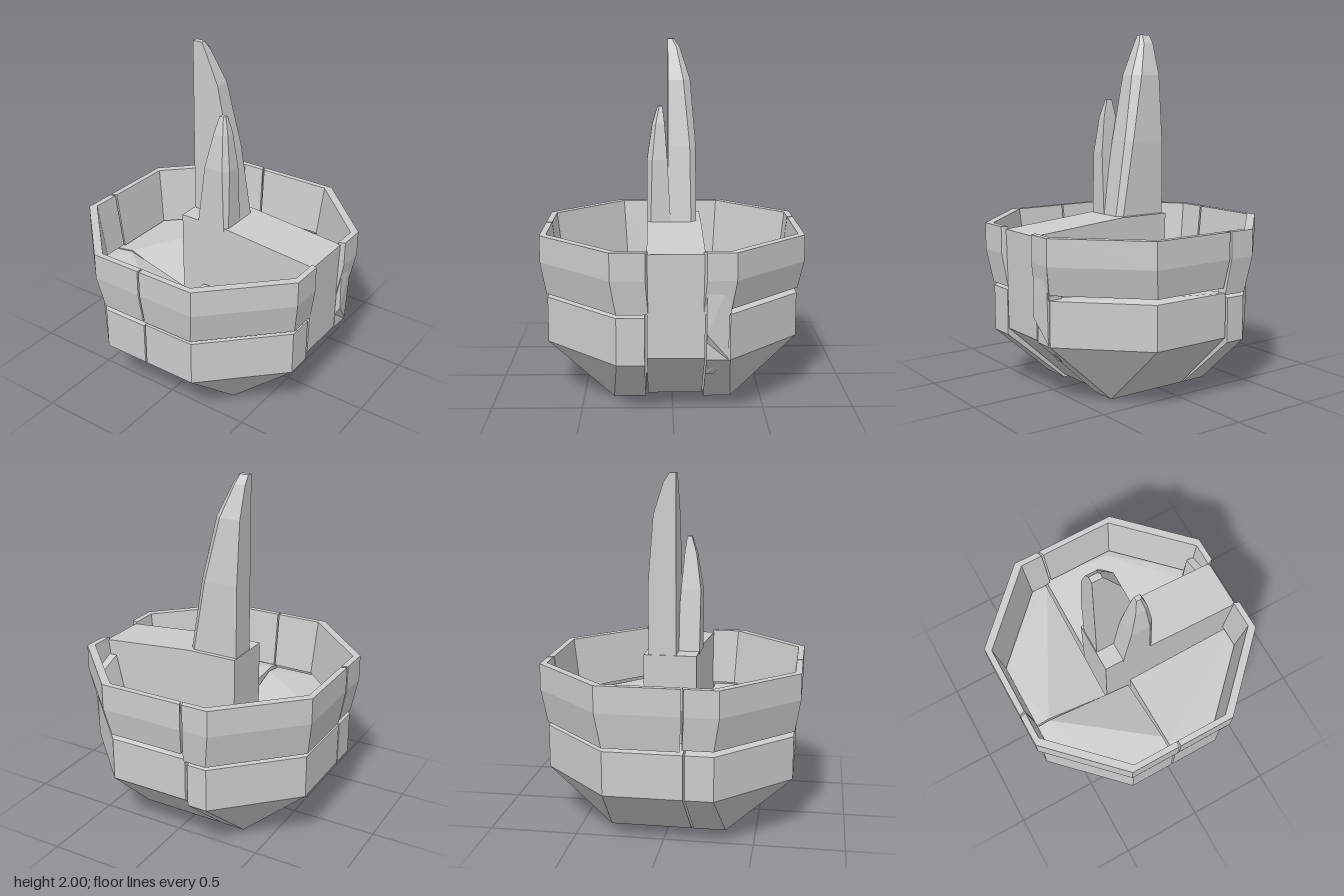
import * as THREE from 'three';
import { ConvexGeometry } from 'three/addons/geometries/ConvexGeometry.js';

const stone = new THREE.MeshStandardMaterial({ color: 0xcccccc, flatShading: true });

// Convex faceted stone from corner points
function addStone(parent, name, points) {
  const geometry = new ConvexGeometry(points.map((p) => new THREE.Vector3(...p)));
  const mesh = new THREE.Mesh(geometry, stone);
  mesh.name = name;
  parent.add(mesh);
}

// Octagon with flats at distance r and flat half-width h, as [x, z]
const octagon = (r, h) => [[h, r], [r, h], [r, -h], [h, -r], [-h, -r], [-r, -h], [-r, h], [-h, r]];
const square = (r) => [[r, r], [r, -r], [-r, -r], [-r, r]];

// Keep the side of a polygon where sign * (coordinate - limit) >= 0
function clip(poly, axis, sign, limit) {
  const out = [];
  poly.forEach((a, i) => {
    const b = poly[(i + 1) % poly.length];
    const da = sign * (a[axis] - limit), db = sign * (b[axis] - limit);
    if (da >= 0) out.push(a);
    if (da * db < 0) {
      const t = da / (da - db);
      out.push([a[0] + (b[0] - a[0]) * t, a[1] + (b[1] - a[1]) * t]);
    }
  });
  return out;
}

// Quarter of the bowl: sx, sz give the kept sides, (cx, cz) the inner corner
function addBowlQuarter(parent, name, { sx, sz, cx, cz, shoulder, top, inner, folds }) {
  const cut = (poly) => clip(clip(poly, 0, sx, cx), 1, sz, cz);
  const at = (poly, y) => cut(poly).map(([x, z]) => [x, y, z]);
  const isCorner = ([x, , z]) => Math.abs(x - cx) + Math.abs(z - cz) < 1e-6;
  const rim = at(octagon(0.7, 0.3), top).filter((p) => !isCorner(p));
  addStone(parent, name, [
    ...at(square(0.33), 0),
    ...at(octagon(0.7, 0.3), shoulder),
    ...rim,
    [cx, inner, cz],
    ...folds.map(([x, z]) => [x, top + 0.02, z]),
  ]);
}

// Straight wall segment of the rim, between fractions t0 and t1 of an octagon side
function addRimWall(parent, side, t0, t1, bottom) {
  const point = (r, h, t, y) => {
    const ring = octagon(r, h);
    const a = ring[side], b = ring[(side + 1) % 8];
    return [a[0] + (b[0] - a[0]) * t, y, a[1] + (b[1] - a[1]) * t];
  };
  const points = [];
  for (const t of [t0, t1]) {
    points.push(
      point(0.735, 0.33, t, 0.94), point(0.735, 0.33, t, 0.79), point(0.705, 0.3, t, bottom),
      point(0.7, 0.3, t, 0.94), point(0.66, 0.28, t, bottom),
    );
  }
  addStone(parent, 'rimWall', points);
}

// Spire from stacked cross-sections [y, x0, x1, z0, z1, chamfer]
function addSpire(parent, name, sections, chamferSide) {
  const points = [];
  for (const [y, x0, x1, z0, z1, c] of sections) {
    points.push([x0, y, z0], [x1, y, z0]);
    if (chamferSide > 0) points.push([x0, y, z1], [x1 - c, y, z1], [x1, y, z1 - c]);
    else points.push([x1, y, z1], [x0 + c, y, z1], [x0, y, z1 - c]);
  }
  addStone(parent, name, points);
}

export function createModel() {
  const model = new THREE.Group();
  model.name = 'stoneBasin';

  // Four bowl pieces arranged as a pinwheel around the pillar
  const bowl = new THREE.Group();
  bowl.name = 'bowl';
  model.add(bowl);
  addBowlQuarter(bowl, 'bowlBackRight', {
    sx: -1, sz: -1, cx: -0.145, cz: -0.025, shoulder: 0.32, top: 0.57, inner: 0.45,
    folds: [[-0.57, -0.025], [-0.145, -0.58]],
  });
  addBowlQuarter(bowl, 'bowlFrontRight', {
    sx: -1, sz: 1, cx: -0.15, cz: -0.015, shoulder: 0.32, top: 0.58, inner: 0.56,
    folds: [[-0.62, -0.015]],
  });
  addBowlQuarter(bowl, 'bowlFrontLeft', {
    sx: 1, sz: 1, cx: 0.175, cz: -0.17, shoulder: 0.35, top: 0.6, inner: 0.56,
    folds: [[0.64, 0.25]],
  });
  addBowlQuarter(bowl, 'bowlBackLeft', {
    sx: 1, sz: -1, cx: -0.135, cz: -0.185, shoulder: 0.32, top: 0.57, inner: 0.45,
    folds: [[-0.135, -0.58], [0.64, -0.185]],
  });

  // Rim walls: [octagon side, start, end, bottom height]
  const rim = new THREE.Group();
  rim.name = 'rim';
  model.add(rim);
  const walls = [
    [0, 0, 1, 0.63], [1, 0, 0.75, 0.63], [1, 0.77, 1, 0.59], [2, 0, 1, 0.59],
    [3, 0, 0.7, 0.59], [3, 0.72, 1, 0.6], [4, 0, 1, 0.6], [5, 0, 0.46, 0.6],
    [5, 0.475, 1, 0.6], [6, 0, 1, 0.6], [7, 0, 0.28, 0.6], [7, 0.765, 1, 0.6],
  ];
  walls.forEach((wall) => addRimWall(rim, ...wall));

  // Rough slab where the left rim meets the ramp
  addStone(model, 'rimButtress', [
    [0.175, 0.84, 0.72], [0.3, 0.79, 0.72], [0.29, 0.62, 0.715], [0.29, 0.36, 0.705],
    [0.22, 0.23, 0.58], [0.175, 0.23, 0.58], [0.175, 0.5, 0.73],
    [0.175, 0.84, 0.64], [0.3, 0.79, 0.64], [0.175, 0.25, 0.5], [0.29, 0.36, 0.6],
  ]);

  // Pillar and its walkway to the front
  const profile = [[-0.175, 0.02], [0.33, 0.02], [0.7, 0.36], [0.71, 0.925], [0.13, 0.975], [-0.175, 0.975]];
  addStone(model, 'walkway', [-0.138, 0.167].flatMap((x) => profile.map(([z, y]) => [x, y, z])));

  // Pointed spires on the pillar
  addSpire(model, 'tallSpire', [
    [0.96, -0.02, 0.14, -0.17, 0.14, 0.03], [1.4, -0.02, 0.138, -0.17, 0.07, 0.035],
    [1.77, -0.02, 0.108, -0.17, -0.005, 0.04], [1.95, -0.02, 0.05, -0.17, -0.085, 0.02],
    [2, -0.02, 0.015, -0.17, -0.11, 0.01],
  ], 1);
  addSpire(model, 'shortSpire', [
    [0.96, -0.14, -0.005, -0.06, 0.14, 0.02], [1.33, -0.14, -0.025, -0.01, 0.138, 0.03],
    [1.53, -0.11, -0.04, 0.03, 0.112, 0.02], [1.63, -0.08, -0.052, 0.05, 0.085, 0.01],
  ], -1);

  return model;
}
